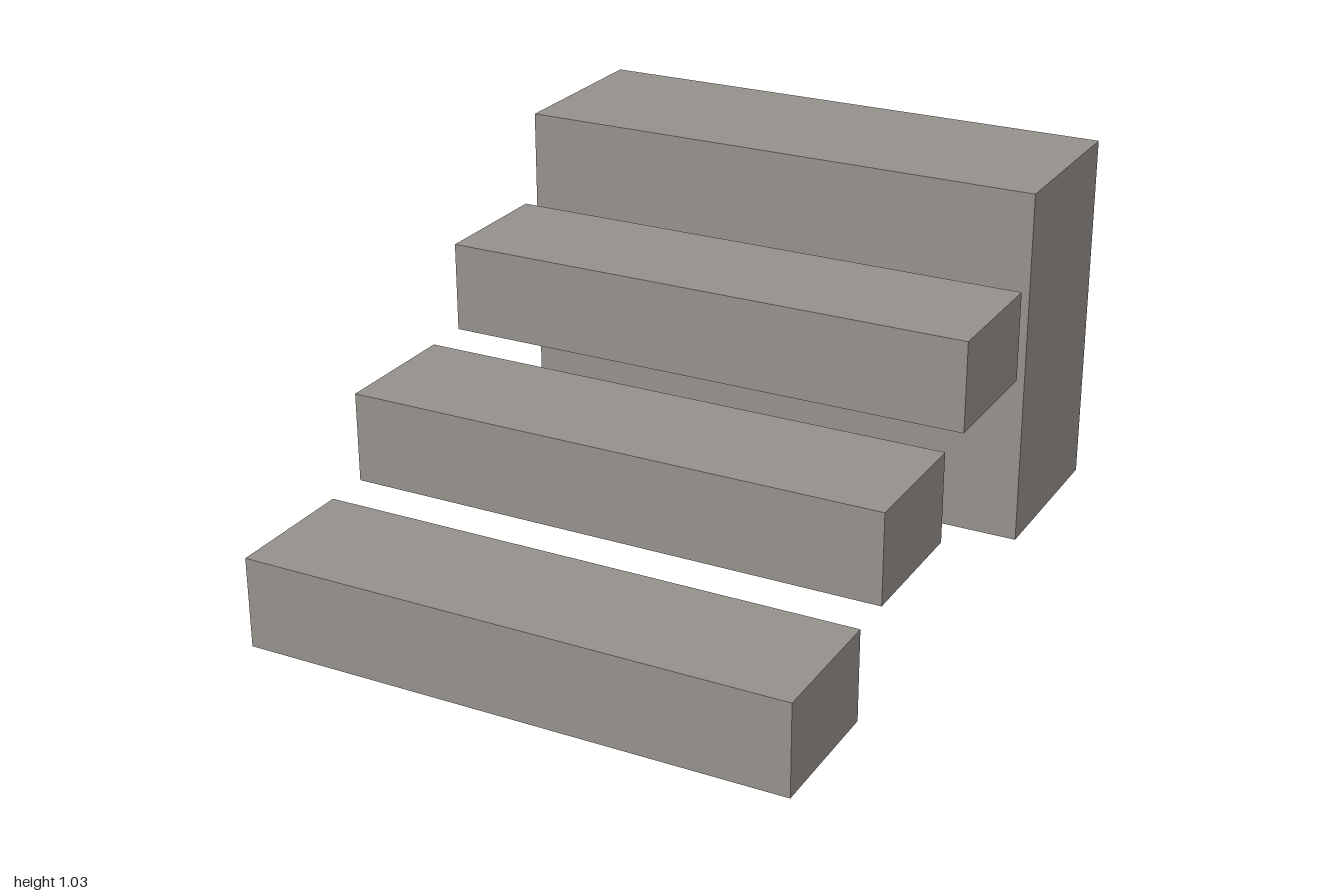
import * as THREE from 'three';

export function createModel() {
  const model = new THREE.Group();
  model.name = 'floatingStairs';
  const stone = new THREE.MeshStandardMaterial({ color: 0x97928e });
  stone.name = 'warm grey stone';

  const unit = 2 / 15.5; // the whole stair is 15.5 units deep
  const width = 12 * unit;

  // Box placed by its bottom and its front face
  function addBlock(name, height, depth, bottom, front) {
    const mesh = new THREE.Mesh(new THREE.BoxGeometry(width, height, depth), stone);
    mesh.name = name;
    mesh.position.set(0, bottom + height / 2, front - depth / 2);
    model.add(mesh);
  }

  // Three separate steps, each one step height up and four units back
  for (let i = 0; i < 3; i++) {
    addBlock(`step${i + 1}`, 2 * unit, 3 * unit, i * 2 * unit, 1 - i * 4 * unit);
  }

  // Tall landing block at the back
  addBlock('landing', 8 * unit, 4 * unit, 0, -1 + 4 * unit);

  return model;
}
